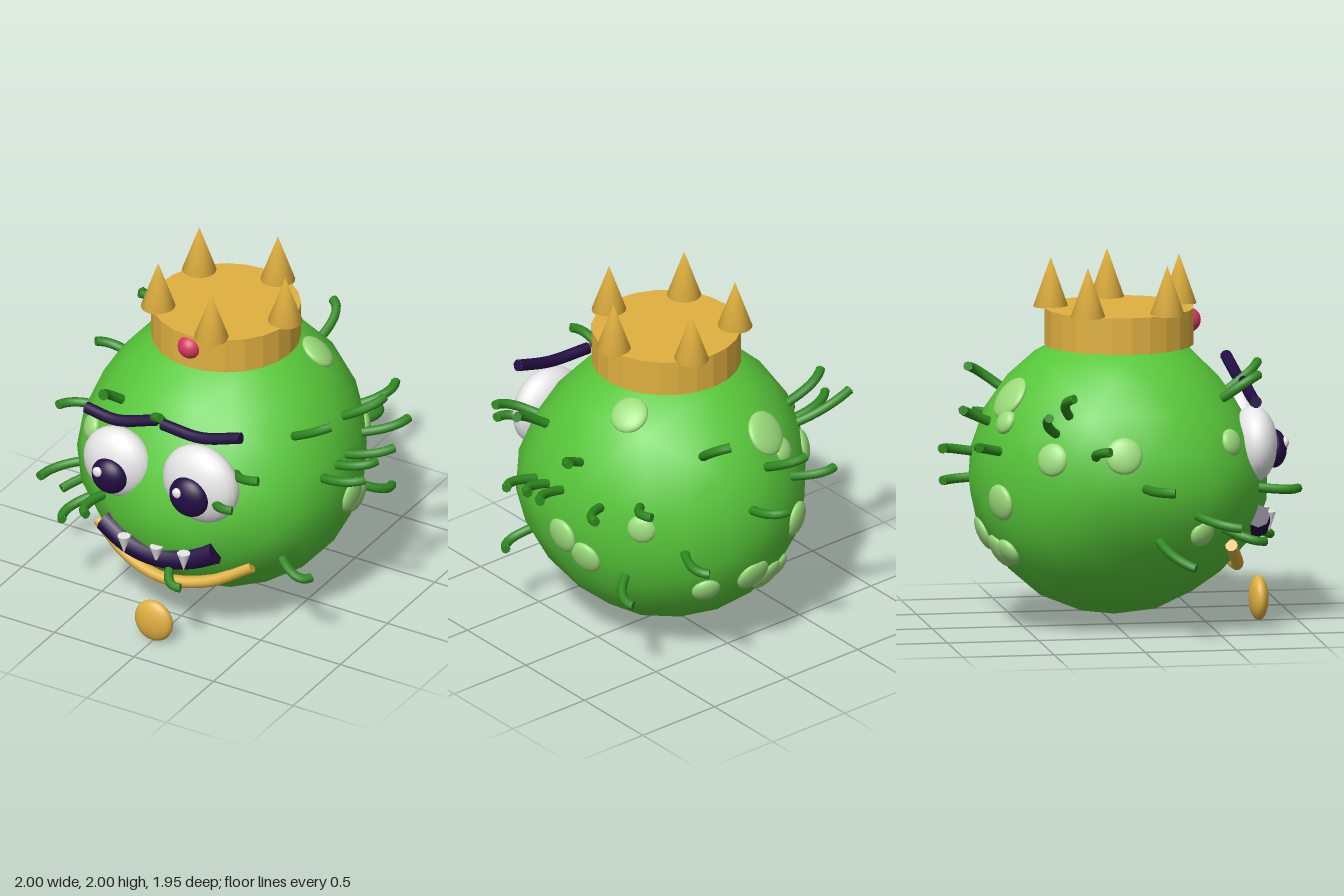
import * as THREE from 'three';
import { mergeGeometries, mergeVertices } from 'three/addons/utils/BufferGeometryUtils.js';

const V = (x, y, z) => new THREE.Vector3(x, y, z);
const CENTRE = V(0, 0.83, 0);

const paint = (name, color) => new THREE.MeshStandardMaterial({ name, color });

// Swellings and hollows of the skin: direction, height, sharpness
const BUMPS = [
  [[0, -0.12, 1], 0.075, 10], [[0, 0.4, 0.92], -0.03, 10],
  [[0.73, -0.1, 0.66], 0.06, 9], [[-0.75, -0.05, 0.65], 0.055, 9],
  [[-0.8, -0.58, 0], -0.09, 8], [[-0.75, 0, -0.66], -0.035, 9],
  [[0.84, 0, -0.54], -0.03, 10], [[0, 0, -1], 0.025, 8], [[0, 1, 0], 0.03, 4],
].map(([d, height, sharpness]) => ({ dir: V(...d).normalize(), height, sharpness }));

// Distance from the centre to the lumpy skin along a unit direction
const skinRadius = (n) => BUMPS.reduce(
  (r, b) => r + b.height * Math.exp(b.sharpness * (n.dot(b.dir) - 1)), 0.777);

const skinPoint = (n) => n.clone().multiplyScalar(skinRadius(n)).add(CENTRE);

// Shares vertices so that the whole surface shades smoothly
function smooth(geometry) {
  geometry.deleteAttribute('normal');
  geometry.deleteAttribute('uv');
  const merged = mergeVertices(geometry, 1e-4);
  merged.computeVertexNormals();
  return merged;
}

// Tube along a curve, with flat ends
function cappedTube(curve, radius, segments, sides) {
  const parts = [new THREE.TubeGeometry(curve, segments, radius, sides)];
  for (const t of [0, 1]) {
    const cap = new THREE.CircleGeometry(radius, sides);
    cap.lookAt(curve.getTangent(t).multiplyScalar(t ? 1 : -1));
    const p = curve.getPoint(t);
    parts.push(cap.translate(p.x, p.y, p.z));
  }
  return mergeGeometries(parts);
}

export function createModel() {
  const model = new THREE.Group();
  model.name = 'monsterBall';

  const green = paint('skin green', 0x58c83a);
  const darkGreen = paint('hair green', 0x2f8a20);
  const paleGreen = paint('spot green', 0x9cdc7c);
  const gold = paint('gold', 0xe0b040);
  const white = paint('white', 0xf0f0f0);
  const dark = paint('dark violet', 0x240c44);
  const red = paint('jewel red', 0xd6365f);

  const add = (name, geometry, material, parent = model) => {
    const mesh = new THREE.Mesh(geometry, material);
    mesh.name = name;
    parent.add(mesh);
    return mesh;
  };
  const group = (name) => {
    const g = new THREE.Group();
    g.name = name;
    model.add(g);
    return g;
  };
  const ellipsoid = (name, [x, y, z], [rx, ry, rz], material, parent) => {
    const mesh = add(name, new THREE.SphereGeometry(1, 24, 16), material, parent);
    mesh.position.set(x, y, z);
    mesh.scale.set(rx, ry, rz);
    return mesh;
  };

  // Body: coarse ball pushed out to the lumpy skin, smooth shaded
  const ball = smooth(new THREE.IcosahedronGeometry(1, 3));
  const pos = ball.attributes.position;
  for (let i = 0; i < pos.count; i++) {
    const p = skinPoint(V(0, 0, 0).fromBufferAttribute(pos, i).normalize());
    pos.setXYZ(i, p.x, p.y, p.z);
  }
  ball.computeVertexNormals();
  add('body', ball, green);

  // Skin spots: [x, y, z, radius], flattened against the skin
  const spots = group('spots');
  [
    [-0.53, 1.06, 0.55, 0.075], [-0.64, 0.58, 0.38, 0.075], [-0.72, 1.03, -0.07, 0.1],
    [-0.58, 1.0, -0.44, 0.09], [-0.18, 1.28, -0.6, 0.125], [-0.27, 1.17, -0.65, 0.07],
    [-0.34, 0.73, -0.7, 0.1], [-0.15, 0.43, -0.67, 0.1], [-0.25, 0.43, -0.65, 0.08],
    [0, 0.51, -0.74, 0.1], [0.26, 0.49, -0.63, 0.08], [0.6, 0.9, -0.49, 0.08],
    [0.44, 1.44, -0.2, 0.105], [0.77, 0.73, -0.02, 0.1], [0.75, 0.63, -0.17, 0.095],
  ].forEach(([x, y, z, r]) => {
    const n = V(x, y, z).sub(CENTRE).normalize();
    const p = skinPoint(n).addScaledVector(n, -0.01);
    const spot = ellipsoid('spot', p.toArray(), [r, r, 0.037], paleGreen, spots);
    spot.lookAt(p.add(n));
  });

  // Hairs, given by their tips; each grows outward and curls around the body
  const hairs = group('hairs');
  [
    [-0.05, 0.99, -0.95], [0.43, 0.74, -0.87], [0.87, 1.03, -0.44], [0.98, 1.05, -0.1],
    [0.97, 1.0, 0.2], [0.95, 1.03, 0.04], [0.78, 0.45, 0.44], [0.62, 1.16, 0.73],
    [0.52, 1.0, 0.84], [-0.33, 0.77, 0.95], [-0.62, 0.53, 0.72], [-0.86, 0.64, 0.55],
    [-0.97, 0.86, 0.17], [-0.94, 1.09, -0.18], [-0.85, 1.27, -0.5], [-0.77, 1.36, -0.35],
    [-0.48, 1.06, -0.82], [-0.24, 1.23, -0.87], [0.2, 1.4, -0.77], [0.82, 1.34, 0.3],
    [0.86, 1.28, -0.2], [-0.87, 0.43, 0.3], [-0.35, 1.4, 0.73], [0.04, 1.41, 0.79],
    [0.22, 0.44, 0.88], [0.7, 0.5, -0.55], [0.66, 1.08, -0.66],
  ].forEach(([x, y, z]) => {
    const tip = V(x, y, z);
    const out = tip.clone().sub(CENTRE);
    const around = V(out.z, 0, -out.x).normalize();
    const n = out.addScaledVector(around, -0.11).normalize();
    const root = skinPoint(n).addScaledVector(n, -0.03);
    const bend = skinPoint(n).addScaledVector(n, 0.17);
    add('hair', cappedTube(new THREE.QuadraticBezierCurve3(root, bend, tip), 0.026, 10, 8), darkGreen, hairs);
  });

  // Eyes: [side, x, y, eye radius, pupil x, pupil y, pupil radius]
  [
    ['right', -0.265, 1.01, 0.207, -0.255, 0.98, 0.105],
    ['left', 0.255, 1.03, 0.23, 0.245, 1.0, 0.118],
  ].forEach(([side, x, y, r, px, py, pr]) => {
    const eye = group(side + 'Eye');
    ellipsoid('eyeball', [x, y, 0.72], [r, r, 0.125], white, eye);
    ellipsoid('pupil', [px, py, 0.83], [pr, pr, 0.07], dark, eye);
    ellipsoid('glint', [px - 0.042, py + 0.037, 0.886], [0.03, 0.03, 0.02], white, eye);
  });

  // Brows, mouth and chain are tubes through a few points
  const strip = (name, points, radius, material, sides = 10) => add(name,
    cappedTube(new THREE.CatmullRomCurve3(points.map((p) => V(...p))), radius, 20, sides), material);
  strip('rightBrow', [[-0.48, 1.27, 0.695], [-0.28, 1.26, 0.71], [-0.04, 1.325, 0.695]], 0.032, dark);
  strip('leftBrow', [[0, 1.31, 0.695], [0.25, 1.31, 0.71], [0.49, 1.375, 0.695]], 0.032, dark);
  strip('mouth', [[-0.34, 0.625, 0.73], [-0.18, 0.55, 0.755], [0, 0.525, 0.765], [0.18, 0.55, 0.755], [0.35, 0.625, 0.73]],
    0.065, dark, 8);
  strip('chain', [[-0.48, 0.49, 0.56], [-0.25, 0.365, 0.63], [0, 0.318, 0.66], [0.25, 0.365, 0.63], [0.48, 0.49, 0.56]],
    0.034, gold);

  // Teeth
  for (const [x, y] of [[-0.17, 0.565], [0.033, 0.56], [0.205, 0.57]]) {
    const tooth = add('tooth', new THREE.ConeGeometry(0.037, 0.11, 10), white);
    tooth.rotation.x = Math.PI;
    tooth.position.set(x, y, 0.82);
  }

  // Medallion
  ellipsoid('medallion', [0, 0.122, 0.79], [0.116, 0.122, 0.052], gold);

  // Crown: solid faceted band, five soft-edged spikes and a jewel
  const crown = group('crown');
  const band = new THREE.CylinderGeometry(0.405, 0.405, 0.2, 24).toNonIndexed();
  band.computeVertexNormals();
  add('crownBand', band, gold, crown).position.set(0, 1.635, 0.025);
  const spikeShape = smooth(new THREE.ConeGeometry(0.095, 0.27, 20));
  for (let i = 0; i < 5; i++) {
    const a = (i * Math.PI * 2) / 5;
    add('crownSpike', spikeShape, gold, crown)
      .position.set(0.37 * Math.cos(a), 1.865, 0.022 + 0.37 * Math.sin(a));
  }
  ellipsoid('crownJewel', [0, 1.655, 0.405], [0.068, 0.068, 0.068], red, crown);

  return model;
}
